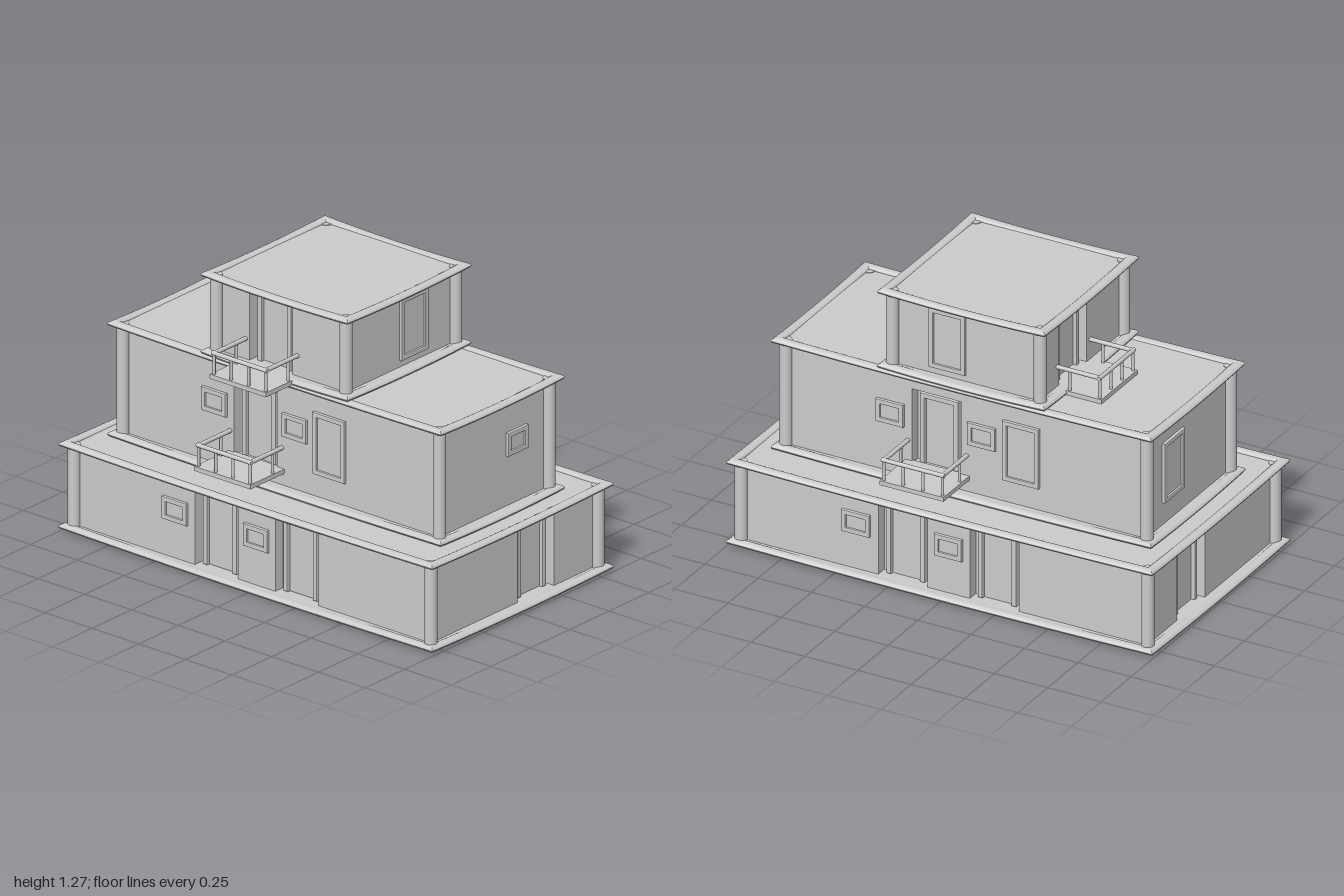
import * as THREE from 'three';

const material = new THREE.MeshStandardMaterial({ color: 0xcccccc, side: THREE.DoubleSide });
const RIM_W = 0.0225, RIM_H = 0.0135, RECESS = 0.05;

function add(parent, name, geometry, x = 0, y = 0, z = 0) {
  const mesh = new THREE.Mesh(geometry, material);
  mesh.name = name;
  mesh.position.set(x, y, z);
  parent.add(mesh);
  return mesh;
}
const box = (parent, name, w, h, d, x, y, z) => add(parent, name, new THREE.BoxGeometry(w, h, d), x, y, z);

function group(parent, name) {
  const g = new THREE.Group();
  g.name = name;
  parent.add(g);
  return g;
}

// Rounded edge beam with mitred ends that sags slightly at mid-span
function beamGeometry(half) {
  const inner = half - RIM_W;
  const geo = new THREE.CylinderGeometry(1, 1, 2 * inner, 12, 12, true);
  geo.rotateZ(Math.PI / 2).scale(1, RIM_H, RIM_W);
  const p = geo.attributes.position;
  for (let i = 0; i < p.count; i++) {
    const t = p.getX(i) / inner;
    p.setX(i, p.getX(i) + t * p.getZ(i));
    p.setY(i, p.getY(i) - 0.008 * (1 - t * t));
  }
  geo.computeVertexNormals();
  return geo;
}

function rim(parent, name, hx, hz, y) {
  const g = group(parent, name);
  for (let k = 0; k < 4; k++) {
    const [along, out] = k % 2 ? [hz, hx] : [hx, hz];
    const side = group(g, 'rimSide');
    side.rotation.y = k * Math.PI / 2;
    add(side, 'edgeBeam', beamGeometry(along), 0, y, out - RIM_W);
  }
}

// Rectangular frame; the open version has no sill
function frameGeometry(w, h, border, depth, sill) {
  const s = new THREE.Shape();
  const a = w / 2, b = a - border, top = h - border;
  if (sill) {
    s.moveTo(-a, 0).lineTo(a, 0).lineTo(a, h).lineTo(-a, h).closePath();
    const hole = new THREE.Path();
    hole.moveTo(-b, border).lineTo(-b, top).lineTo(b, top).lineTo(b, border).closePath();
    s.holes.push(hole);
  } else {
    s.moveTo(-a, 0).lineTo(-b, 0).lineTo(-b, top).lineTo(b, top).lineTo(b, 0)
      .lineTo(a, 0).lineTo(a, h).lineTo(-a, h).closePath();
  }
  const bevel = 0.004;
  return new THREE.ExtrudeGeometry(s, {
    depth: depth - bevel, bevelThickness: bevel, bevelSize: bevel, bevelOffset: -bevel, bevelSegments: 2,
  });
}

function addWindow(side, x, y, w, h, z) {
  const g = group(side, 'window');
  g.position.set(x, y, z);
  add(g, 'windowFrame', frameGeometry(w, h, 0.021, 0.014, true));
  box(g, 'windowPane', w - 0.04, h - 0.04, 0.01, 0, h / 2, 0);
}

function addDoor(side, x, y, h, z) {
  const g = group(side, 'door');
  g.position.set(x, y, z - RECESS);
  add(g, 'doorFrame', frameGeometry(0.18, h, 0.022, 0.03, false));
  box(g, 'doorLeaf', 0.14, h - 0.02, 0.024, 0, (h - 0.02) / 2, 0);
}

// Small balcony: slab, three-sided handrail and posts
function addBalcony(side, x, y, z0) {
  const g = group(side, 'balcony');
  g.position.set(x, y, 0);
  const w = 0.3, z1 = 0.555, a = w / 2 - 0.012, zf = z1 - 0.014, ry = 0.112;
  box(g, 'balconySlab', w, 0.02, z1 - z0, 0, 0.01, (z0 + z1) / 2);
  const rail = (name, len) => add(g, name, new THREE.CylinderGeometry(0.0095, 0.0095, len, 10));
  const front = rail('frontRail', 2 * a + 0.019);
  front.rotation.z = Math.PI / 2;
  front.position.set(0, ry, zf);
  const post = (px, pz) => add(g, 'railPost', new THREE.CylinderGeometry(0.007, 0.007, ry - 0.018, 8), px, ry / 2 + 0.009, pz);
  for (const s of [-1, 1]) {
    const r = rail('sideRail', zf - z0);
    r.rotation.x = Math.PI / 2;
    r.position.set(s * a, ry, (z0 + zf) / 2);
    post(s * a, zf);
    post(s * a, 0.4);
    post(s * a / 3, zf);
  }
}

// One storey; sides run front, right, back, left with x measured along each wall
function addStorey(root, name, { hx, hz, y0, y1, base, sides }) {
  const g = group(root, name);
  const px = hx - 0.046, pz = hz - 0.046;
  const wx = px - 0.008, wz = pz - 0.008;
  const low = y0 + 0.012, high = y1 - 0.015, H = high - low, mid = (low + high) / 2;

  rim(g, 'lowerRim', hx, hz, y0 + RIM_H);
  rim(g, 'upperRim', hx, hz, y1 - RIM_H);
  box(g, 'roof', 2 * (hx - 0.02), 0.01, 2 * (hz - 0.02), 0, y1 - 0.02, 0);
  box(g, 'floor', 2 * (hx - 0.02), 0.01, 2 * (hz - 0.02), 0, y0 + 0.013, 0);
  box(g, 'innerCore', 2 * (wx - RECESS), H, 2 * (wz - RECESS), 0, mid, 0);
  for (const sx of [-1, 1]) for (const sz of [-1, 1])
    add(g, 'cornerPillar', new THREE.CylinderGeometry(0.027, 0.027, H + 0.006, 20), sx * px, mid, sz * pz);

  sides.forEach(({ doors = [], windows = [] }, k) => {
    const side = group(g, ['frontSide', 'rightSide', 'backSide', 'leftSide'][k]);
    side.rotation.y = k * Math.PI / 2;
    const [along, out] = k % 2 ? [wz, wx] : [wx, wz];
    const panel = (a, b, c, d) => box(side, 'wallPanel', b - a, d - c, RECESS, (a + b) / 2, (c + d) / 2, out - RECESS / 2);
    // wall panels leave a recess around each door
    let start = -along;
    for (const d of doors) {
      panel(start, d.x - 0.115, low, high);
      start = d.x + 0.115;
      if (d.top) panel(d.x - 0.115, start, d.top, high);
      if (d.y > low + 0.03) panel(d.x - 0.115, start, low, d.y);
      addDoor(side, d.x, d.y, d.h, out);
      if (d.balcony !== undefined) addBalcony(side, d.x + 0.005, d.balcony, base);
    }
    panel(start, along, low, high);
    for (const [x, y, w, h] of windows) addWindow(side, x, y, w, h, out);
  });
}

export function createModel() {
  const root = new THREE.Group();
  root.name = 'terracedHouse';

  // Ground storey
  const groundLong = {
    doors: [{ x: -0.2, y: 0.025, h: 0.325 }, { x: 0.23, y: 0.025, h: 0.325 }],
    windows: [[-0.417, 0.185, 0.132, 0.1], [0.017, 0.185, 0.13, 0.1]],
  };
  addStorey(root, 'groundStorey', {
    hx: 1, hz: 0.575, y0: 0.004, y1: 0.398, base: 0.5,
    sides: [groundLong, { doors: [{ x: 0.145, y: 0.025, h: 0.325 }] },
      groundLong, { doors: [{ x: -0.155, y: 0.025, h: 0.325 }] }],
  });

  // Middle storey
  const middleLong = {
    doors: [{ x: -0.145, y: 0.465, h: 0.325, top: 0.81, balcony: 0.457 }],
    windows: [[-0.36, 0.625, 0.13, 0.104], [0.07, 0.625, 0.13, 0.104], [0.255, 0.505, 0.17, 0.275]],
  };
  addStorey(root, 'middleStorey', {
    hx: 0.893, hz: 0.393, y0: 0.386, y1: 0.904, base: 0.33,
    sides: [middleLong, { windows: [[0.147, 0.625, 0.13, 0.104]] },
      middleLong, { windows: [[-0.12, 0.505, 0.17, 0.275]] }],
  });

  // Top storey
  const topDoor = { doors: [{ x: -0.062, y: 0.9, h: 0.322, balcony: 0.89 }] };
  const topWindow = { windows: [[0.085, 0.94, 0.17, 0.275]] };
  const topBack = { windows: [[-0.09, 0.94, 0.17, 0.275]] };
  addStorey(root, 'topStorey', {
    hx: 0.393, hz: 0.393, y0: 0.892, y1: 1.262, base: 0.34,
    sides: [topDoor, topWindow, topBack, topDoor],
  });
  return root;
}
